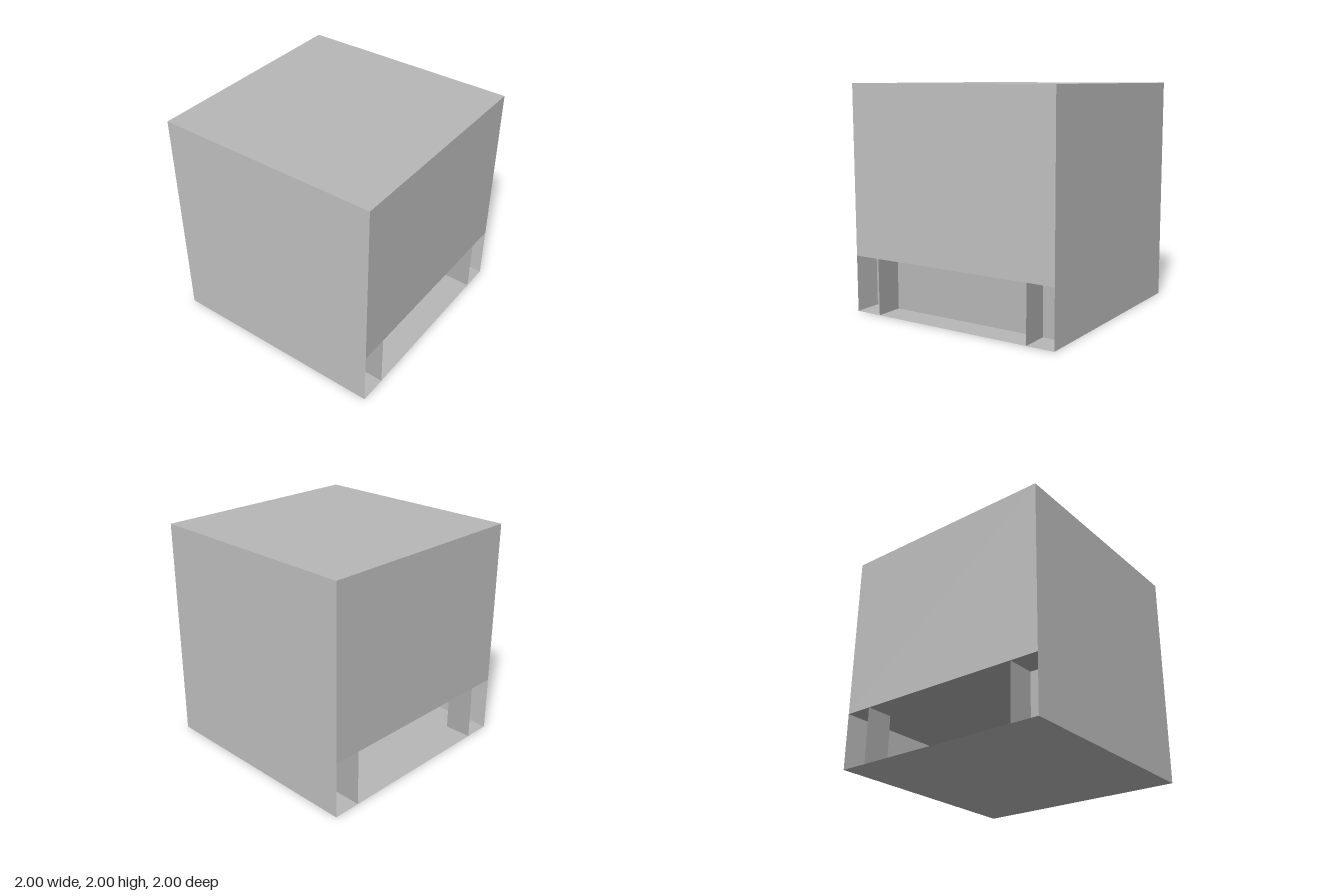
import * as THREE from 'three';

export function createModel() {
  const model = new THREE.Group();
  const material = (name, color) => {
    const m = new THREE.MeshStandardMaterial({ color, side: THREE.DoubleSide });
    m.name = name;
    return m;
  };
  const light = material('lightGrey', 0xc0c0c0);
  const mid = material('midGrey', 0xb7b7b7);
  const dark = material('darkGrey', 0xadadad);

  const add = (name, geometry, mat, x, y, z) => {
    const mesh = new THREE.Mesh(geometry, mat);
    mesh.name = name;
    mesh.position.set(x, y, z);
    model.add(mesh);
    return mesh;
  };
  // Thin upright sheets facing along z or along x
  const sheetZ = (name, w, h, mat, x, y, z) =>
    add(name, new THREE.PlaneGeometry(w, h).rotateY(z < 0 ? Math.PI : 0), mat, x, y, z);
  const sheetX = (name, w, h, mat, x, y, z) =>
    add(name, new THREE.PlaneGeometry(w, h).rotateY(Math.sign(x) * Math.PI / 2), mat, x, y, z);

  // Upper body: sides light, lid slightly darker
  add('body', new THREE.BoxGeometry(2, 1.5, 2),
    [light, light, mid, dark, light, light], 0, 1.25, 0);

  // Floor sheet
  add('floor', new THREE.PlaneGeometry(2, 2).rotateX(-Math.PI / 2), mid, 0, 0, 0);

  for (const s of [1, -1]) {
    // Front and back skirts closing the base
    sheetZ(s > 0 ? 'frontSkirt' : 'backSkirt', 2, 0.5, light, 0, 0.25, s);

    // Corner legs, open on their outer x side
    for (const t of [1, -1]) {
      sheetZ('legDivider', 0.25, 0.5, dark, t * 0.875, 0.25, s * 0.75);
      sheetX('legInnerSide', 0.25, 0.5, mid, t * 0.75, 0.25, s * 0.875);
    }
  }

  // Recessed wall between the legs on the left side
  sheetX('recessedWall', 1.5, 0.5, mid, 0.75, 0.25, 0);

  return model;
}
